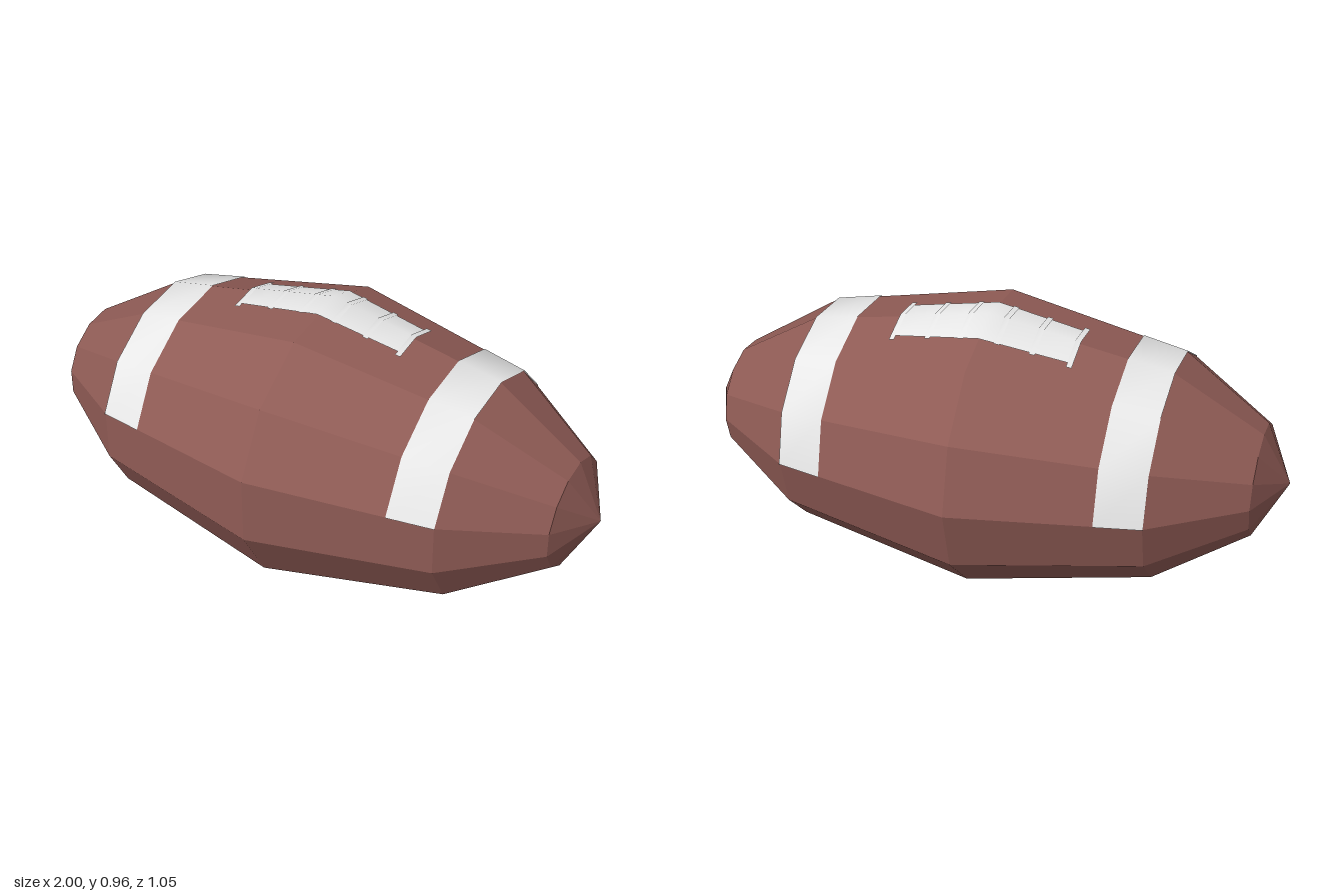
import * as THREE from 'three';

const SIDES = 13, RY = 0.482, RZ = 0.533, CY = 0.482, CZ = 0.0077;
const PROFILE = [[-1, 0], [-0.905, 0.375], [-0.61, 0.76], [0, 1], [0.61, 0.76], [0.905, 0.375], [1, 0]];

// relative radius of the middle section of the ball
const radiusAt = (x) => 1 - 0.24 * Math.abs(x) / 0.61;

// point on edge line k of the hull, counted from the back over the top
function hullPoint(x, k, lift) {
  const a = k * Math.PI * 2 / SIDES, s = radiusAt(x) + lift;
  return [x, CY + RY * s * Math.sin(a), CZ - RZ * s * Math.cos(a)];
}

// point on the top of the hull at a given x and z
function topPoint(x, z, lift) {
  const ridge = hullPoint(x, 3, 0);
  const other = hullPoint(x, z > ridge[2] ? 4 : 2, 0);
  const t = (z - ridge[2]) / (other[2] - ridge[2]);
  return [x, ridge[1] + (other[1] - ridge[1]) * t + lift, z];
}

// sheet through columns of points, each column running from back to front
function sheet(columns) {
  const rows = columns[0].length, index = [];
  for (let i = 0; i < columns.length - 1; i++) {
    for (let j = 0; j < rows - 1; j++) {
      const a = i * rows + j, b = a + rows;
      index.push(a, a + 1, b, b, a + 1, b + 1);
    }
  }
  const g = new THREE.BufferGeometry();
  g.setAttribute('position', new THREE.Float32BufferAttribute(columns.flat(2), 3));
  g.setIndex(index);
  g.computeVertexNormals();
  return g;
}

export function createModel() {
  const group = new THREE.Group();
  const leather = new THREE.MeshStandardMaterial({ color: 0x8f5b55, flatShading: true });
  leather.name = 'brown leather';
  const white = new THREE.MeshStandardMaterial({ color: 0xebebeb, side: THREE.DoubleSide });
  white.name = 'white';
  const add = (name, geometry, material) => {
    const m = new THREE.Mesh(geometry, material);
    m.name = name;
    group.add(m);
  };

  // faceted ball
  const ball = new THREE.LatheGeometry(PROFILE.map(([x, r]) => new THREE.Vector2(r, x)), SIDES, Math.PI);
  ball.rotateZ(-Math.PI / 2);
  ball.scale(1, RY, RZ);
  ball.translate(0, CY, CZ);
  add('ball', ball, leather);

  // stripes over the upper half
  for (const [name, xs] of [['leftStripe', [0.46, 0.612]], ['rightStripe', [-0.612, -0.46]]]) {
    const columns = xs.map((x) => [0, 1, 2, 3, 4, 5, 6].map((k) => hullPoint(x, k, 0.006)));
    add(name, sheet(columns), white);
  }

  // lace panel, wider in the middle, folded over the top ridge
  const backEdge = (x) => -0.165 + 0.08 * Math.abs(x);
  const frontEdge = (x) => 0.05 - 0.03 * Math.abs(x);
  const strip = (xs, extra, lift) => sheet(xs.map((x) => [
    topPoint(x, backEdge(x) - extra(x), lift),
    topPoint(x, hullPoint(x, 3, 0)[2], lift),
    topPoint(x, frontEdge(x) + extra(x), lift),
  ]));
  add('lacePanel', strip([-0.3, -0.18, -0.06, 0, 0.06, 0.18, 0.3], () => 0, 0.008), white);

  // cross laces poking out past the panel
  for (const [x, e] of [[-0.297, 0.02], [-0.175, 0.009], [-0.06, 0.005], [0.06, 0.005], [0.175, 0.009], [0.297, 0.02]]) {
    add('crossLace', strip([x - 0.009, x + 0.009], () => e, 0.01), white);
  }
  return group;
}
